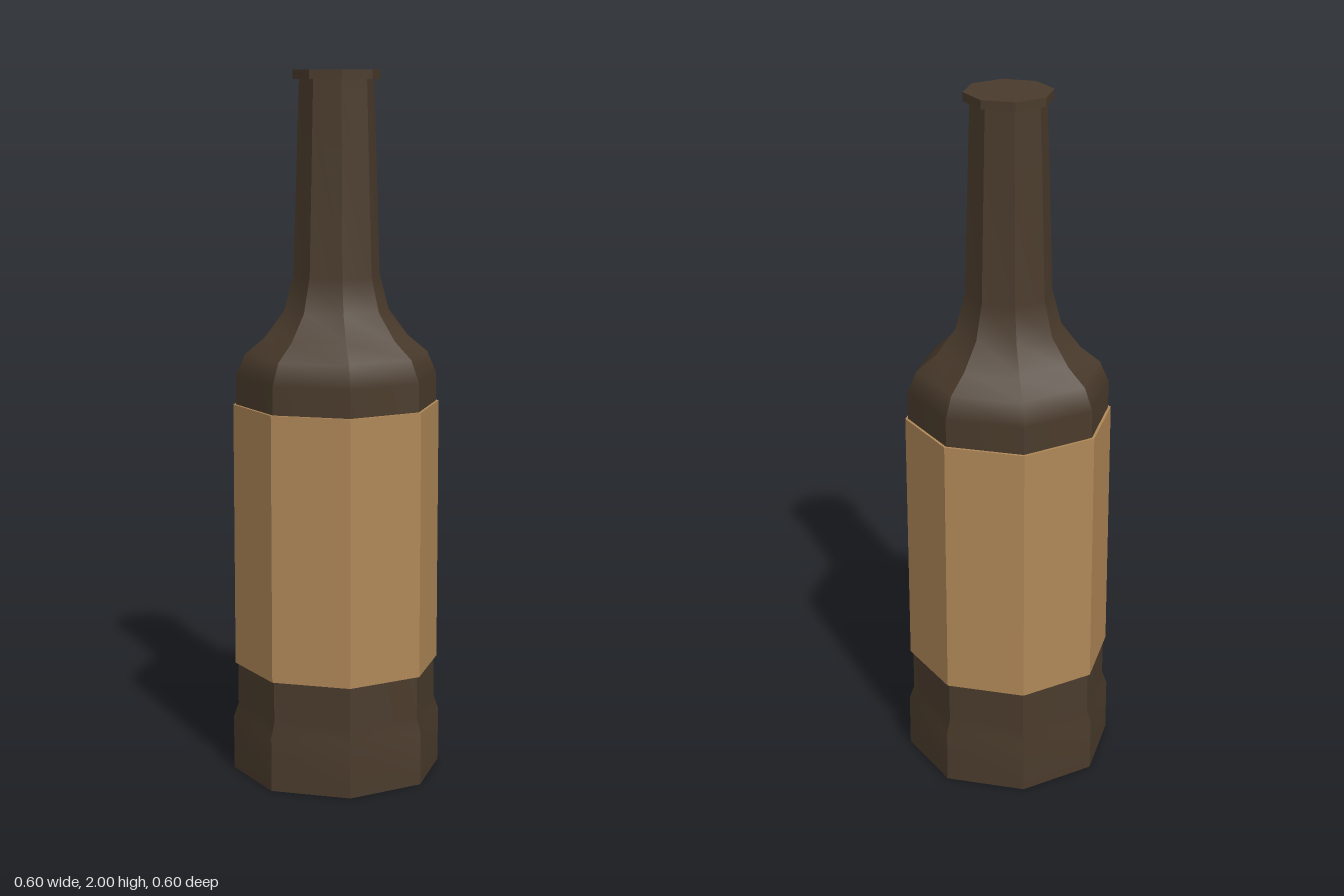
import * as THREE from 'three';
import { mergeGeometries } from 'three/addons/utils/BufferGeometryUtils.js';

const SIDES = 8;

// Eight-sided turned form: each side panel is separate, so the upright edges stay
// sharp while each profile section is smooth along its height.
function facetedLathe(sections) {
  const step = (Math.PI * 2) / SIDES;
  const panels = [];
  for (const section of sections) {
    const points = section.map(([r, y]) => new THREE.Vector2(r, y));
    for (let i = 0; i < SIDES; i++) {
      const panel = new THREE.LatheGeometry(points, 1, i * step, step);
      panel.computeVertexNormals();
      panels.push(panel);
    }
  }
  return mergeGeometries(panels);
}

function part(name, sections, material) {
  const mesh = new THREE.Mesh(facetedLathe(sections), material);
  mesh.name = name;
  return mesh;
}

export function createModel() {
  const group = new THREE.Group();
  group.name = 'bottle';
  const glass = new THREE.MeshStandardMaterial({ color: 0x4a3b2c });
  const paper = new THREE.MeshStandardMaterial({ color: 0xb08858 });

  // Underside, thick foot, straight body, shoulder and tapering neck
  group.add(part('body', [
    [[0, 0], [0.3, 0]],
    [[0.3, 0], [0.3, 0.155], [0.286, 0.195], [0.286, 1.15], [0.26, 1.212],
      [0.203, 1.26], [0.148, 1.335], [0.122, 1.435], [0.105, 1.975]],
  ], glass));

  // Closed lip on top of the neck
  group.add(part('lip', [
    [[0.1, 1.975], [0.123, 1.975]],
    [[0.123, 1.975], [0.123, 2]],
    [[0.123, 2], [0, 2]],
  ], glass));

  // Wrapped band standing slightly proud of the body
  group.add(part('label', [
    [[0.285, 0.315], [0.294, 0.315]],
    [[0.294, 0.315], [0.294, 1.07]],
    [[0.294, 1.07], [0.285, 1.07]],
  ], paper));

  return group;
}
